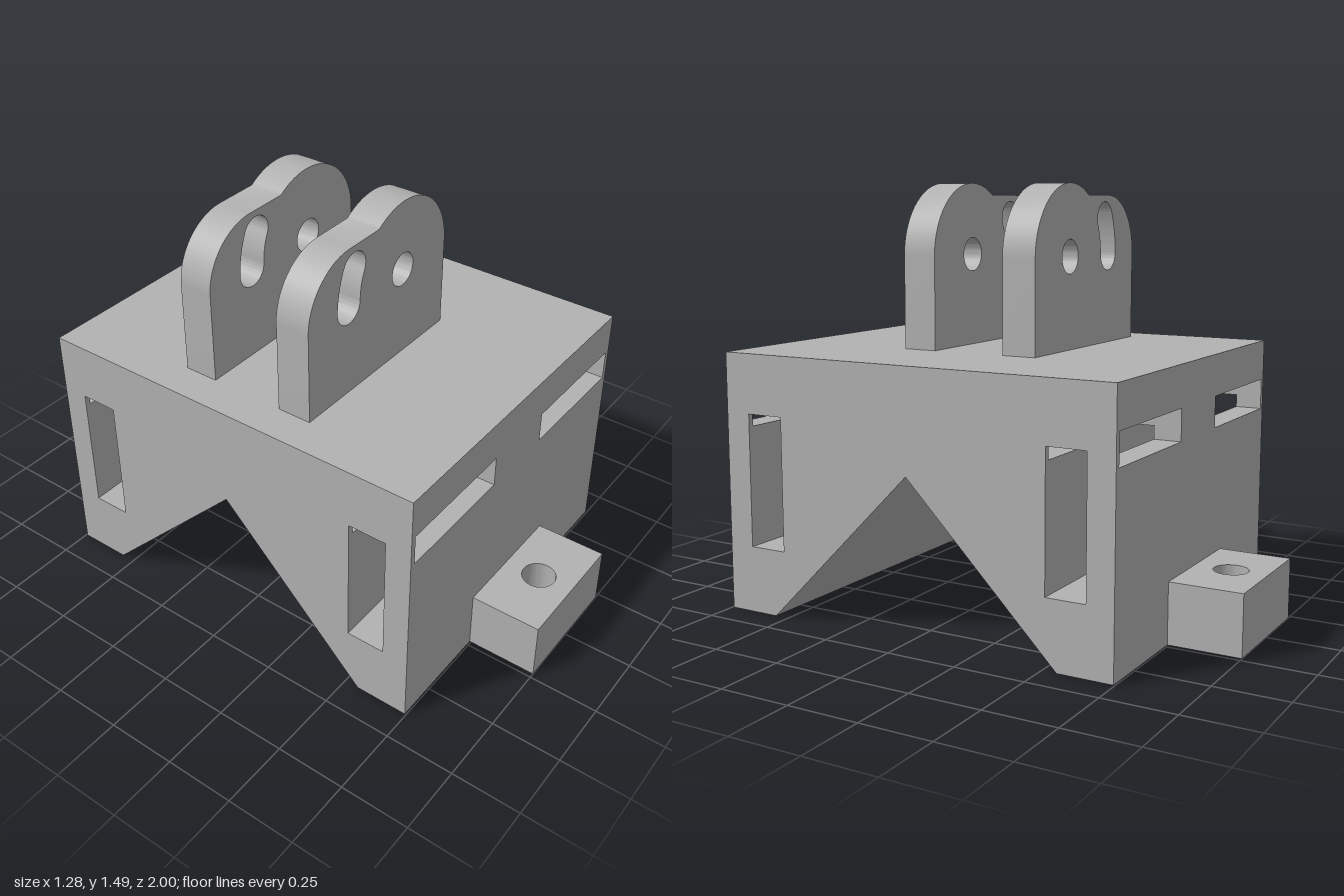
import * as THREE from 'three';
import { toCreasedNormals } from 'three/addons/utils/BufferGeometryUtils.js';

const W = 0.64, H = 0.915, D = 0.745; // body half width, height, half depth

const poly = (pts) => pts.map(([x, y]) => new THREE.Vector2(x, y));
const rect = (x0, x1, y0, y1) => poly([[x0, y0], [x1, y0], [x1, y1], [x0, y1]]);

function shapeWithHoles(outline, holes) {
  const shape = new THREE.Shape(outline);
  for (const h of holes) shape.holes.push(new THREE.Path(h));
  return shape;
}

function circle(x, y, r) {
  return new THREE.Path().absarc(x, y, r, 0, Math.PI * 2, false);
}

function quadGeometry(quads) {
  const pos = [];
  for (const [a, b, c, d] of quads) pos.push(...a, ...b, ...c, ...a, ...c, ...d);
  const g = new THREE.BufferGeometry();
  g.setAttribute('position', new THREE.Float32BufferAttribute(pos, 3));
  g.computeVertexNormals();
  return g;
}

// Inside walls of the crossing strap slots: walk a coarse grid of cells and
// face every open cell towards its solid neighbours.
function slotWalls() {
  const grid = [
    [-W, -0.62, -0.15, 0.15, 0.62, W],
    [0.235, 0.66, 0.705, 0.77],
    [-D, -0.65, -0.51, 0.51, 0.65, D],
  ];
  const inside = (c) => c.every((v, a) => v >= 0 && v < grid[a].length - 1);
  const open = ([i, j, k]) => {
    const sideSlot = (k === 1 || k === 3) && j <= 1;
    const frontSlot = (i === 1 || i === 3) && j >= 1;
    return sideSlot || frontSlot;
  };
  const quads = [];
  for (let i = 0; i < 5; i++) for (let j = 0; j < 3; j++) for (let k = 0; k < 5; k++) {
    const cell = [i, j, k];
    if (!open(cell)) continue;
    for (let a = 0; a < 3; a++) for (const s of [-1, 1]) {
      const next = [...cell];
      next[a] += s;
      if (inside(next) ? open(next) : a !== 1) continue;
      const b = (a + 1) % 3, c = (a + 2) % 3;
      const corner = (u, v) => {
        const p = [0, 0, 0];
        p[a] = grid[a][cell[a] + (s > 0 ? 1 : 0)];
        p[b] = grid[b][cell[b] + u];
        p[c] = grid[c][cell[c] + v];
        return p;
      };
      const q = [corner(0, 0), corner(1, 0), corner(1, 1), corner(0, 1)];
      quads.push(s > 0 ? q.reverse() : q);
    }
  }
  return quadGeometry(quads);
}

// Ear plate: two rounded shoulders, pivot hole and curved slot
function earGeometry() {
  const cy = 1.24, R = 0.2525, r = 0.21, sweep = THREE.MathUtils.degToRad(25);
  const meet = Math.asin(r / R);
  const s = new THREE.Shape();
  s.moveTo(-0.51, H);
  s.lineTo(R, H);
  s.lineTo(R, cy);
  s.absarc(0, cy, R, 0, Math.PI - meet, false);
  s.lineTo(-0.3, cy + r);
  s.absarc(-0.3, cy, r, Math.PI / 2, Math.PI, false);
  s.lineTo(-0.51, H);

  const end = Math.PI - sweep;
  const slot = new THREE.Path();
  slot.absarc(0, cy, 0.36, Math.PI, end, true);
  slot.absarc(0.3 * Math.cos(end), cy + 0.3 * Math.sin(end), 0.06, end, end - Math.PI, true);
  slot.absarc(0, cy, 0.24, end, Math.PI, false);
  slot.absarc(-0.3, cy, 0.06, 0, -Math.PI, true);
  s.holes.push(circle(0, cy, 0.06), slot);
  const g = new THREE.ExtrudeGeometry(s, { depth: 0.125, bevelEnabled: false, curveSegments: 24 });
  return toCreasedNormals(g, 0.6);
}

export function createModel() {
  const group = new THREE.Group();
  const grey = new THREE.MeshStandardMaterial({ color: 0xb2b2b2 });
  grey.name = 'grey';
  const add = (name, geometry, z = 0, ry = 0) => {
    const m = new THREE.Mesh(geometry, grey);
    m.name = name;
    m.position.z = z;
    m.rotation.y = ry;
    group.add(m);
    return m;
  };

  // Body: front and back walls with two wide slots
  const frontWall = new THREE.ShapeGeometry(shapeWithHoles(rect(-W, W, 0, H),
    [rect(-0.62, -0.15, 0.66, 0.77), rect(0.15, 0.62, 0.66, 0.77)]));
  add('frontWall', frontWall, D);
  add('backWall', frontWall, -D, Math.PI);

  // Body: side walls with the V notch and two tall slots
  const profile = [[-D, 0], [-0.552, 0], [0, 0.555], [0.552, 0], [D, 0], [D, H], [-D, H]];
  const sideWall = new THREE.ShapeGeometry(shapeWithHoles(poly(profile),
    [rect(-0.65, -0.51, 0.235, 0.705), rect(0.51, 0.65, 0.235, 0.705)]));
  add('leftWall', sideWall, 0, Math.PI / 2).position.x = W;
  add('rightWall', sideWall, 0, -Math.PI / 2).position.x = -W;

  // Body: feet, notch slopes and top, swept across the width
  const strip = (i) => {
    const [z0, y0] = profile[i], [z1, y1] = profile[i + 1];
    return [[-W, y0, z0], [W, y0, z0], [W, y1, z1], [-W, y1, z1]];
  };
  add('topAndUnderside', quadGeometry([0, 1, 2, 3, 5].map(strip)));
  add('slotWalls', slotWalls());

  // Mounting tabs with a vertical screw hole
  const tabShape = new THREE.Shape(rect(-0.232, 0.232, -1, -D));
  tabShape.holes.push(circle(0, -0.872, 0.06));
  const tab = toCreasedNormals(new THREE.ExtrudeGeometry(tabShape,
    { depth: 0.213, bevelEnabled: false, curveSegments: 24 }).rotateX(-Math.PI / 2), 0.6);
  add('frontTab', tab);
  add('backTab', tab, 0, Math.PI);

  // Pair of hinge ears
  const ear = earGeometry();
  add('frontEar', ear, 0.135);
  add('backEar', ear, -0.26);

  return group;
}
